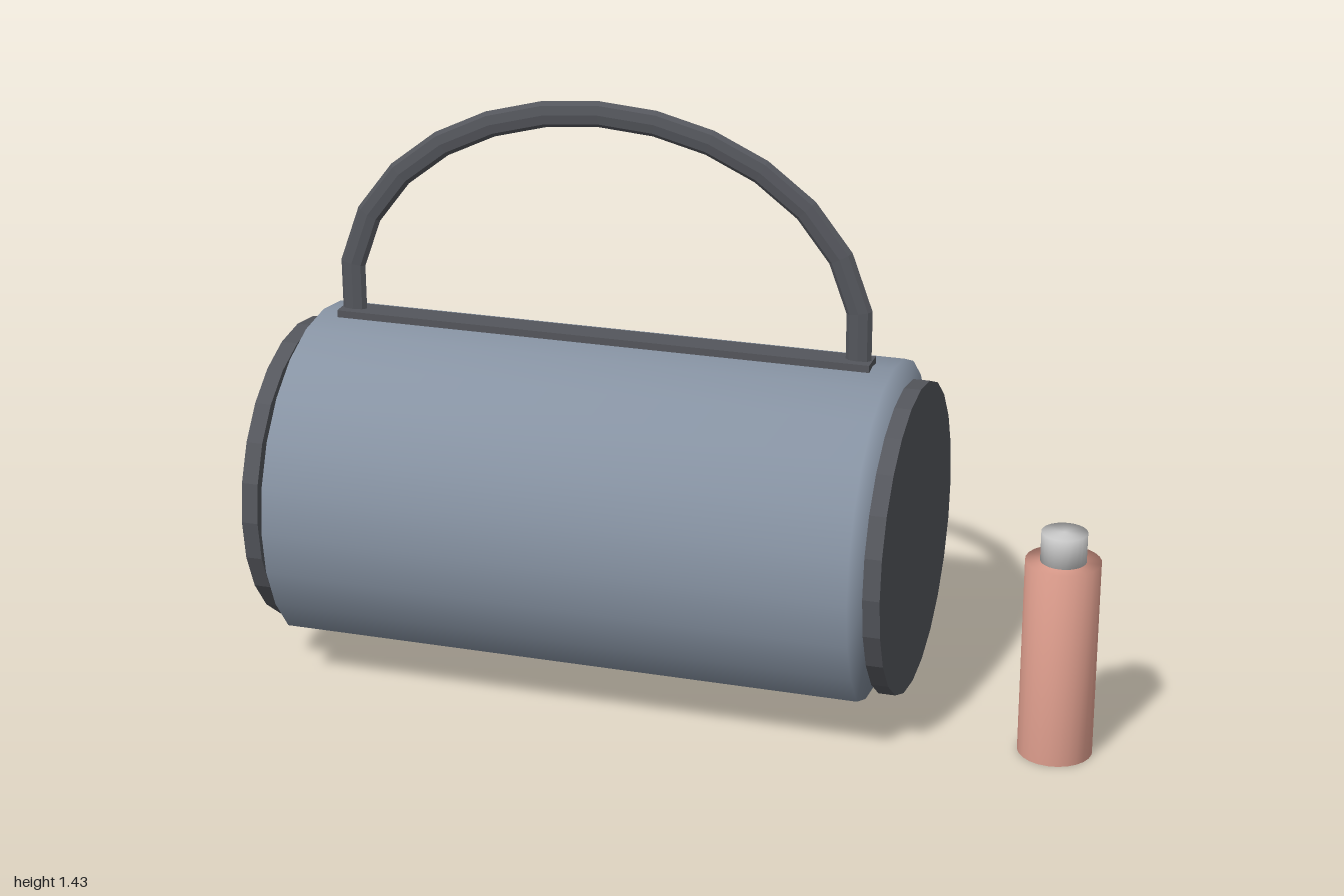
import * as THREE from 'three';
import { mergeVertices } from 'three/addons/utils/BufferGeometryUtils.js';
import { RoundedBoxGeometry } from 'three/addons/geometries/RoundedBoxGeometry.js';

const mat = (color, flatShading = false) => new THREE.MeshStandardMaterial({ color, flatShading });

// Share vertices between sides and caps so the shading rolls over the rims
function softened(geometry) {
  geometry.deleteAttribute('normal');
  geometry.deleteAttribute('uv');
  const merged = mergeVertices(geometry, 1e-4);
  merged.computeVertexNormals();
  return merged;
}

// Elliptical handle path
class HandleArc extends THREE.Curve {
  getPoint(t, target = new THREE.Vector3()) {
    const a = THREE.MathUtils.degToRad(188 - 196 * t);
    return target.set(0.628 * Math.cos(a), 0.915 + 0.485 * Math.sin(a), 0);
  }
}

export function createModel() {
  const group = new THREE.Group();
  const add = (name, geometry, material, x, y, z) => {
    const mesh = new THREE.Mesh(geometry, material);
    mesh.name = name;
    mesh.position.set(x, y, z);
    group.add(mesh);
    return mesh;
  };
  const dark = mat(0x54565c, true);
  const middle = -0.225;
  const axisY = 0.44;

  // Barrel lying along x, squashed underneath where it rests
  const barrel = new THREE.CylinderGeometry(0.415, 0.415, 1.41, 24).rotateZ(Math.PI / 2);
  const p = barrel.attributes.position;
  for (let i = 0; i < p.count; i++) {
    const y = p.getY(i);
    if (y < -0.32) p.setY(i, -0.32 + (y + 0.32) * 0.2);
  }
  add('bagBody', softened(barrel), mat(0x8793a3), middle, axisY, 0);

  // End panels, standing slightly off the barrel
  for (const [name, x] of [['rightEndPanel', -0.98], ['leftEndPanel', 0.525]]) {
    const disc = new THREE.CylinderGeometry(0.37, 0.37, 0.04, 24).rotateZ(Math.PI / 2);
    add(name, disc, dark, x, axisY, 0);
  }

  // Zip strip along the top
  add('zipStrip', new THREE.BoxGeometry(1.31, 0.03, 0.066), dark, middle, 0.853, 0);

  // Flat strap handle
  const strap = new THREE.TubeGeometry(new HandleArc(), 14, 0.031, 8, false).scale(1, 1, 0.42);
  add('handle', strap, dark, middle, 0, 0);

  // Pocket on the back
  add('backPocket', new RoundedBoxGeometry(0.56, 0.35, 0.028, 2, 0.012), mat(0x6fb0a6), middle, 0.485, -0.41, 0);

  // Bottle standing beside the bag
  add('bottle', softened(new THREE.CylinderGeometry(0.087, 0.087, 0.48, 24)), mat(0xe8a594), 0.91, 0.24, 0.115);
  add('bottleCap', softened(new THREE.CylinderGeometry(0.053, 0.053, 0.07, 24)), mat(0xcccccc), 0.91, 0.515, 0.115);

  return group;
}
